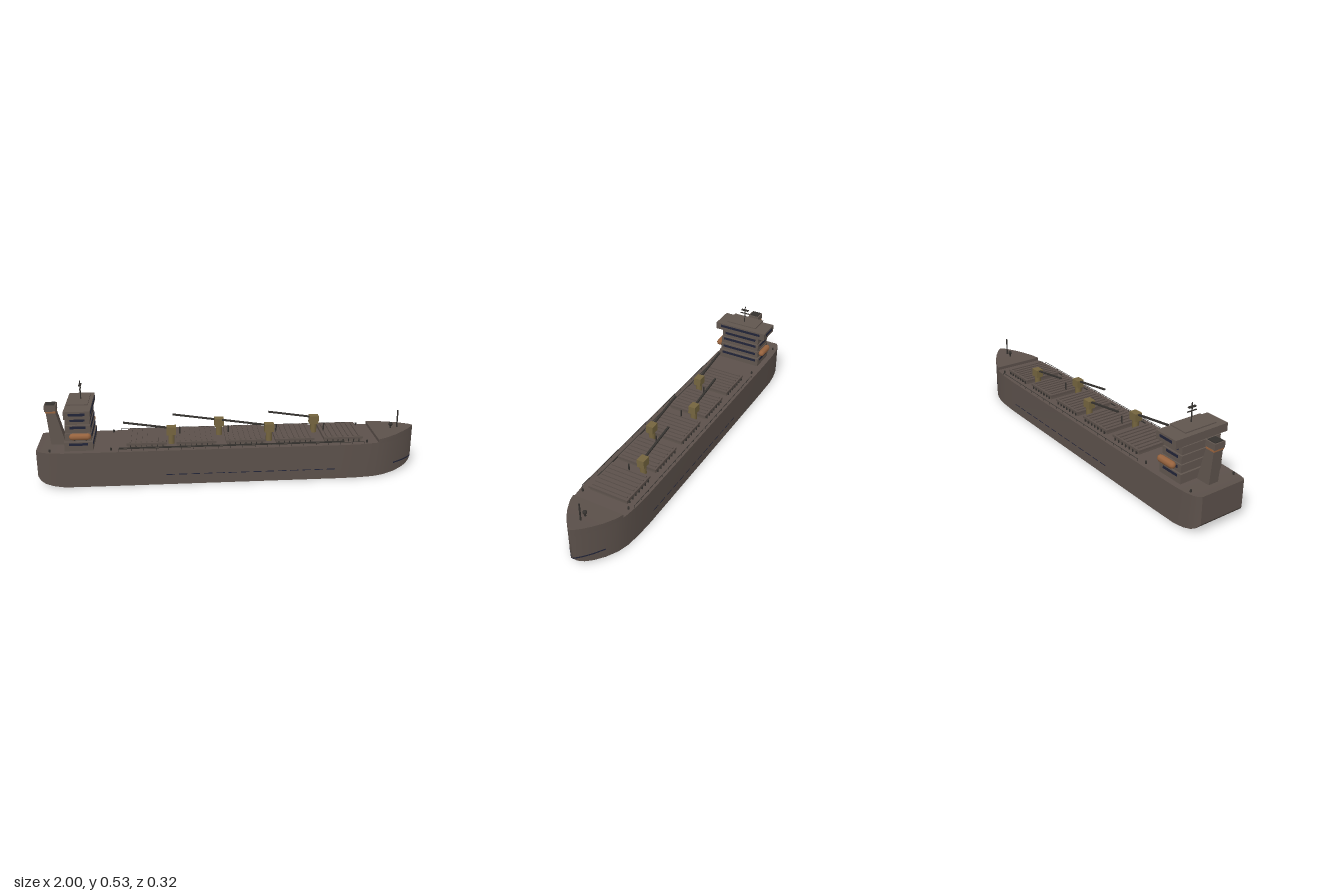
import * as THREE from 'three';
import { toCreasedNormals } from 'three/addons/utils/BufferGeometryUtils.js';

const mat = (name, color, side = THREE.FrontSide) => {
  const m = new THREE.MeshStandardMaterial({ color, side });
  m.name = name;
  return m;
};

export function createModel() {
  const hullGrey = mat('hull brown grey', 0x5c514b);
  const houseGrey = mat('house grey', 0x61564f);
  const navy = mat('window navy', 0x212438);
  const ochre = mat('crane ochre', 0x75653f);
  const orange = mat('lifeboat orange', 0x98643f);
  const iron = mat('dark iron', 0x35322f);

  const ship = new THREE.Group();
  ship.name = 'cargoShip';

  const add = (name, geo, material, x = 0, y = 0, z = 0, parent = ship) => {
    const mesh = new THREE.Mesh(geo, material);
    mesh.name = name;
    mesh.position.set(x, y, z);
    parent.add(mesh);
    return mesh;
  };
  // Box given by its limits
  const box = (name, material, x0, x1, y0, y1, z0, z1, parent = ship) =>
    add(name, new THREE.BoxGeometry(x1 - x0, y1 - y0, z1 - z0), material,
      (x0 + x1) / 2, (y0 + y1) / 2, (z0 + z1) / 2, parent);
  const post = (name, material, r, x, y0, y1, z, sides = 8, parent = ship) =>
    add(name, new THREE.CylinderGeometry(r, r, y1 - y0, sides), material, x, (y0 + y1) / 2, z, parent);

  // Skin over stations of [x, half width, bottom, top]
  const loft = (stations) => {
    const pos = [], idx = [];
    for (const [x, h, b, t] of stations) pos.push(x, t, -h, x, b, -h, x, b, h, x, t, h);
    for (let i = 0; i < stations.length - 1; i++) {
      for (let j = 0; j < 4; j++) {
        const k = (j + 1) % 4, a = i * 4 + j, e = i * 4 + k;
        idx.push(a, e + 4, e, a, a + 4, e + 4);
      }
    }
    const n = (stations.length - 1) * 4;
    idx.push(0, 1, 2, 0, 2, 3, n, n + 2, n + 1, n, n + 3, n + 2);
    const g = new THREE.BufferGeometry();
    g.setAttribute('position', new THREE.Float32BufferAttribute(pos, 3));
    g.setIndex(idx);
    return toCreasedNormals(g, 0.6);
  };

  // Hull: bluff bow with a raked forefoot, flat transom
  add('hull', loft([
    [-1, 0.125, 0.055, 0.197], [-0.985, 0.138, 0.035, 0.195], [-0.96, 0.146, 0.02, 0.192],
    [-0.92, 0.152, 0.008, 0.19], [-0.86, 0.156, 0, 0.189], [-0.7, 0.158, 0, 0.189],
    [0.58, 0.158, 0, 0.189], [0.68, 0.154, 0, 0.189], [0.76, 0.145, 0, 0.19],
    [0.82, 0.129, 0.002, 0.19], [0.88, 0.1, 0.006, 0.19], [0.93, 0.068, 0.013, 0.19],
    [0.965, 0.04, 0.022, 0.19], [0.988, 0.018, 0.036, 0.19], [1, 0.003, 0.055, 0.19],
  ]), hullGrey);
  add('forecastle', loft([
    [0.78, 0.14, 0.186, 0.207], [0.82, 0.129, 0.186, 0.211], [0.88, 0.1, 0.186, 0.217],
    [0.93, 0.068, 0.186, 0.223], [0.965, 0.04, 0.186, 0.227], [0.988, 0.018, 0.186, 0.23],
    [1, 0.003, 0.186, 0.231],
  ]), hullGrey);

  // Waterline marks along the sides and round the stem
  for (const s of [-1, 1]) {
    for (let i = 0; i < 14; i++) {
      const x = -0.34 + i * 0.065;
      box('waterlineMark', navy, x, x + 0.045, 0.053, 0.057, s * 0.158 - 0.001, s * 0.158 + 0.001);
    }
  }
  add('stemWaterline', loft([
    [0.88, 0.101, 0.052, 0.059], [0.93, 0.069, 0.052, 0.059], [0.965, 0.041, 0.052, 0.059],
    [0.988, 0.019, 0.052, 0.059], [1, 0.004, 0.052, 0.059],
  ]), navy);

  // Cargo hatches with ribbed covers
  for (let i = 0; i < 5; i++) {
    const hatch = new THREE.Group();
    hatch.name = 'hatch';
    hatch.position.x = -0.437 + i * 0.2585;
    ship.add(hatch);
    box('coaming', houseGrey, -0.098, 0.098, 0.187, 0.205, -0.105, 0.105, hatch);
    box('cover', hullGrey, -0.104, 0.104, 0.203, 0.215, -0.11, 0.11, hatch);
    for (let r = 0; r < 7; r++) {
      const x = -0.084 + r * 0.028;
      box('coverRib', hullGrey, x - 0.004, x + 0.004, 0.215, 0.221, -0.1, 0.1, hatch);
      for (const s of [-1, 1])
        box('coamingStay', iron, x - 0.002, x + 0.002, 0.189, 0.205, s * 0.109 - 0.004, s * 0.109 + 0.004, hatch);
    }
  }

  // Deck cranes, alternating sides, with booms raised aft
  [-0.308, -0.05, 0.208, 0.466].forEach((x, i) => {
    const crane = new THREE.Group();
    crane.name = 'crane';
    crane.position.set(x, 0, i % 2 ? -0.053 : 0.053);
    ship.add(crane);
    post('cranePedestal', ochre, 0.017, 0, 0.187, 0.245, 0, 10, crane);
    box('craneCabin', ochre, -0.025, 0.025, 0.24, 0.283, -0.02, 0.02, crane);
    const boom = box('craneBoom', iron, -0.13, 0.13, -0.004, 0.004, -0.005, 0.005, crane);
    boom.position.set(-0.12, 0.291, 0);
    boom.rotation.z = -0.15;
    post('deckVent', iron, 0.004, x + 0.045, 0.187, 0.258, 0);
  });

  // Deck pipe and side railings
  box('deckPipe', iron, -0.58, 0.6, 0.194, 0.199, 0.121, 0.126);
  for (const s of [-1, 1]) {
    box('rail', iron, -0.58, 0.7, 0.2, 0.202, s * 0.148 - 0.001, s * 0.148 + 0.001);
    for (let i = 0; i <= 20; i++)
      post('railPost', iron, 0.0012, -0.58 + i * 0.064, 0.187, 0.202, s * 0.148, 5);
    for (const x of [-0.93, -0.62, 0.72])
      post('bollard', iron, 0.005, x, 0.187, 0.203, s * 0.13);
  }

  // Deckhouse tiers: [bottom, top, half width, aft x, fore x, window bottom, window half width]
  const house = new THREE.Group();
  house.name = 'deckhouse';
  ship.add(house);
  box('houseCore', houseGrey, -0.835, -0.73, 0.187, 0.4, -0.1, 0.1, house);
  const tiers = [
    [0.187, 0.237, 0.125, -0.855, -0.71, 0.218, 0.108],
    [0.241, 0.281, 0.12, -0.85, -0.716, 0.258, 0.104],
    [0.285, 0.325, 0.118, -0.848, -0.718, 0.307, 0.103],
    [0.329, 0.367, 0.115, -0.846, -0.72, 0.345, 0.098],
    [0.371, 0.412, 0.155, -0.846, -0.713, 0.389, 0.125],
  ];
  for (const [y0, y1, h, x0, x1, w, wh] of tiers) {
    box('tier', houseGrey, x0, x1, y0, y1, -h, h, house);
    box('frontWindows', navy, x1 - 0.001, x1 + 0.002, w, w + 0.014, -wh, wh, house);
    for (const s of [-1, 1])
      box('sideWindows', navy, x0 + 0.025, x1 - 0.025, w, w + 0.013, s * h - 0.002, s * h + 0.002, house);
  }

  // Signal mast and roof platform
  box('roofPlatform', houseGrey, -0.835, -0.727, 0.424, 0.43, -0.092, 0.092, house);
  post('mast', iron, 0.003, -0.77, 0.41, 0.527, 0, 8, house);
  box('lowerYard', iron, -0.773, -0.767, 0.483, 0.487, -0.028, 0.028, house);
  box('radarBar', iron, -0.776, -0.764, 0.502, 0.508, -0.021, 0.021, house);

  // Lifeboats
  for (const s of [-1, 1]) {
    const boat = add('lifeboat', new THREE.CapsuleGeometry(0.018, 0.075, 4, 8), orange, -0.77, 0.272, s * 0.138);
    boat.rotation.z = Math.PI / 2;
    for (const x of [-0.8, -0.74])
      box('davit', iron, x - 0.003, x + 0.003, 0.25, 0.256, s * 0.127 - 0.013, s * 0.127 + 0.013);
  }

  // Raked funnel with an orange band and overhanging cap
  const side = new THREE.Shape([[-0.935, 0.187], [-0.857, 0.187], [-0.904, 0.375], [-0.951, 0.375]]
    .map(([x, y]) => new THREE.Vector2(x, y)));
  add('funnel', new THREE.ExtrudeGeometry(side, { depth: 0.056, bevelEnabled: false }), houseGrey, 0, 0, -0.028);
  box('funnelBand', orange, -0.954, -0.901, 0.363, 0.372, -0.03, 0.03);
  box('funnelCap', houseGrey, -0.958, -0.898, 0.374, 0.405, -0.031, 0.031);
  box('funnelTop', iron, -0.952, -0.904, 0.404, 0.409, -0.024, 0.024);

  // Foremast and windlass
  post('foremast', iron, 0.004, 0.915, 0.215, 0.318, 0);
  add('windlass', new THREE.SphereGeometry(0.011, 10, 8), iron, 0.88, 0.24, 0);
  post('windlassBase', iron, 0.005, 0.88, 0.212, 0.235, 0);

  return ship;
}
